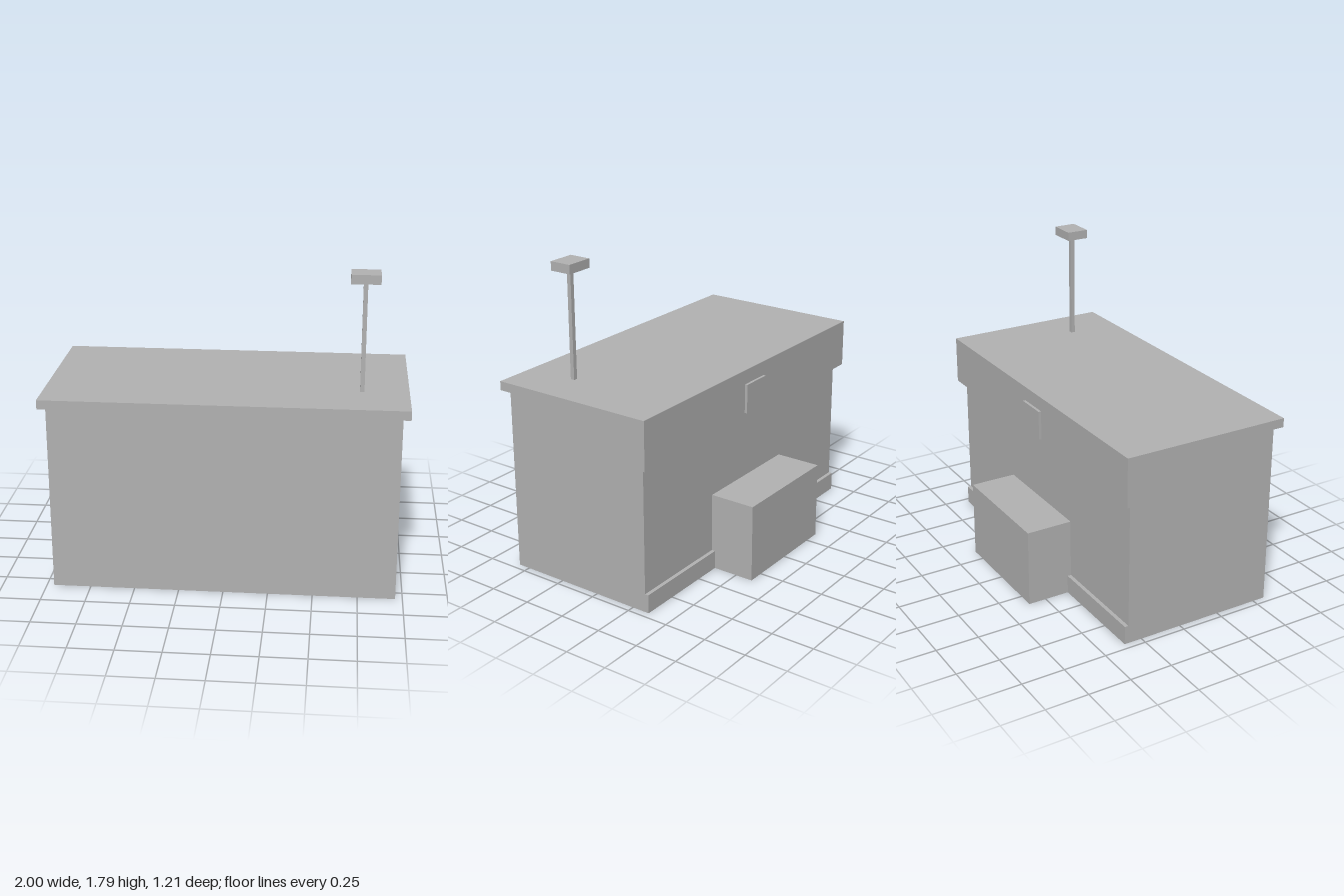
import * as THREE from 'three';

// Drops the downward faces, leaving a shell that is open from below
function openBelow(source) {
  const geo = source.index ? source.toNonIndexed() : source;
  const p = geo.attributes.position;
  const kept = [];
  const tri = new THREE.Triangle();
  const normal = new THREE.Vector3();
  for (let i = 0; i < p.count; i += 3) {
    tri.setFromAttributeAndIndices(p, i, i + 1, i + 2);
    tri.getNormal(normal);
    if (normal.y > -0.9) kept.push(...tri.a.toArray(), ...tri.b.toArray(), ...tri.c.toArray());
  }
  const shell = new THREE.BufferGeometry();
  shell.setAttribute('position', new THREE.Float32BufferAttribute(kept, 3));
  shell.computeVertexNormals();
  return shell;
}

// Side profile of [z, y] points, swept across x and centred
function sweep(profile, width) {
  const shape = new THREE.Shape(profile.map(([z, y]) => new THREE.Vector2(-z, y)));
  const geo = new THREE.ExtrudeGeometry(shape, { depth: width, bevelEnabled: false });
  return geo.translate(0, 0, -width / 2).rotateY(Math.PI / 2);
}

// Box from its minimum and maximum corners
function block([x0, y0, z0], [x1, y1, z1]) {
  return new THREE.BoxGeometry(x1 - x0, y1 - y0, z1 - z0)
    .translate((x0 + x1) / 2, (y0 + y1) / 2, (z0 + z1) / 2);
}

export function createModel() {
  const group = new THREE.Group();
  const grey = new THREE.MeshStandardMaterial({ color: 0xb2b2b2, side: THREE.DoubleSide });
  grey.name = 'plain grey';

  const add = (name, geo) => {
    const mesh = new THREE.Mesh(geo, grey);
    mesh.name = name;
    group.add(mesh);
  };

  // Walls with a low plinth along the back
  add('walls', openBelow(sweep(
    [[0.572, 0], [0.572, 1.07], [-0.334, 1.07], [-0.334, 0.108], [-0.356, 0.108], [-0.356, 0]], 1.92)));

  // Hollow roof slab with a deep fascia hanging down at the back
  add('roofAndFascia', openBelow(sweep(
    [[0.605, 1.07], [0.605, 1.122], [-0.376, 1.122], [-0.376, 0.842], [-0.336, 0.842], [-0.336, 1.07]], 2)));

  // Small plate on the fascia
  add('backPlate', block([-0.095, 0.87, -0.392], [0.09, 1.04, -0.376]));

  // Low annex against the back wall
  add('backAnnex', openBelow(block([-0.345, 0, -0.605], [0.345, 0.452, -0.335])));

  // Mast on the roof with a hollow cap
  add('mast', block([0.73, 1.122, 0.292], [0.754, 1.787, 0.316]));
  add('mastCap', openBelow(block([0.662, 1.737, 0.237], [0.822, 1.788, 0.365])));

  return group;
}
